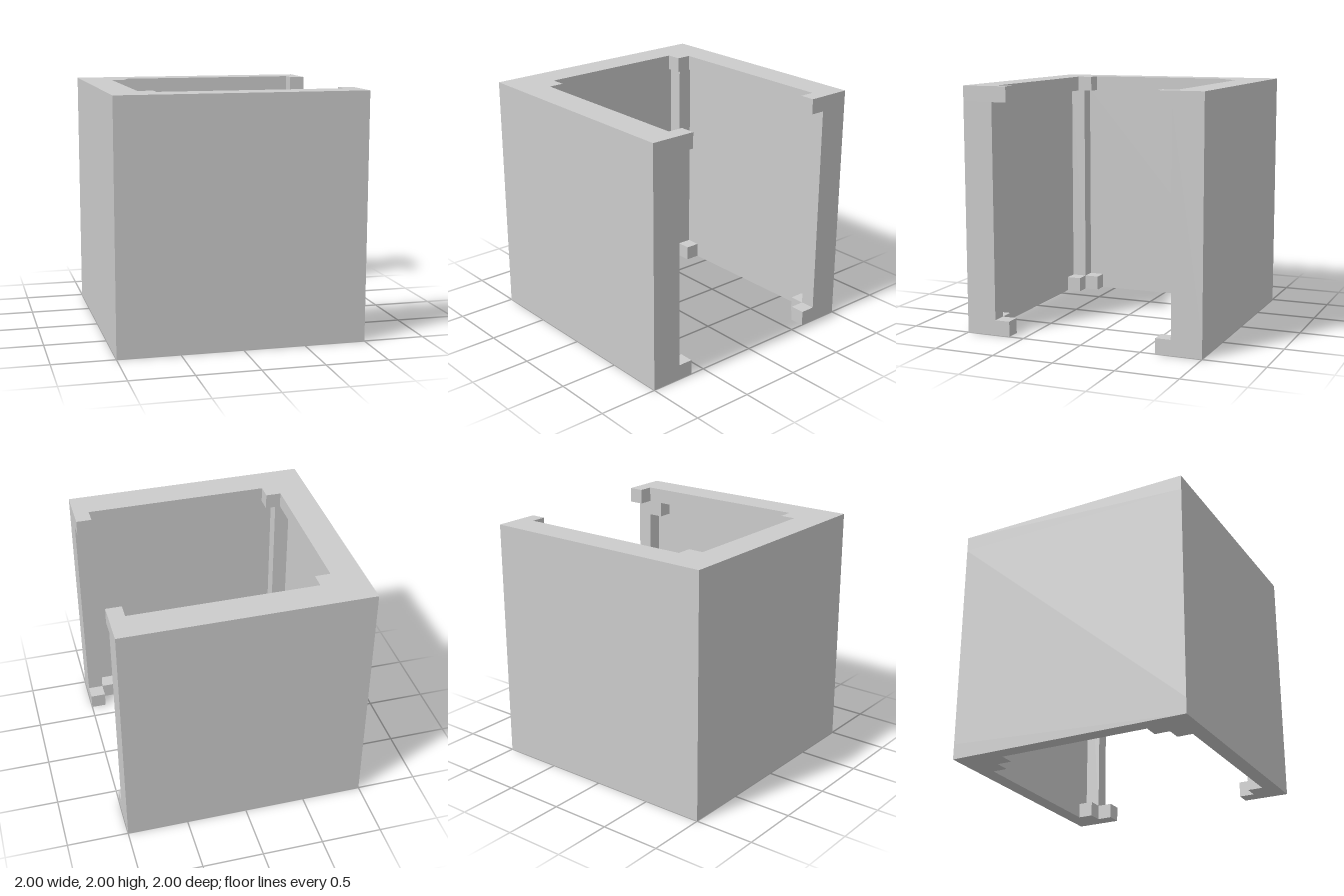
import * as THREE from 'three';

// Everything sits on a grid of sixteen units along the cube's side
const U = 1 / 8;

export function createModel() {
  const group = new THREE.Group();
  const material = new THREE.MeshStandardMaterial({ color: 0xcccccc, flatShading: true });

  // U-shaped layer, open at +x: inner edge given for +z and mirrored to -z
  function addLayer(name, y, height, inner) {
    const mirrored = inner.map(([x, z]) => [x, -z]).reverse();
    const outline = [...inner, ...mirrored, [8, -8], [-8, -8], [-8, 8], [8, 8]];
    const shape = new THREE.Shape(outline.map(([x, z]) => new THREE.Vector2(x * U, z * U)));
    const geometry = new THREE.ExtrudeGeometry(shape, { depth: height * U, bevelEnabled: false });
    geometry.rotateX(-Math.PI / 2);
    const mesh = new THREE.Mesh(geometry, material);
    mesh.name = name;
    mesh.position.y = y * U;
    group.add(mesh);
  }

  // Bottom layer: thin walls with stepped feet around the four posts
  addLayer('postFeet', 0, 1, [
    [8, 5], [7, 5], [7, 6], [6, 6], [6, 7],
    [-5, 7], [-5, 6], [-6, 6], [-6, 5], [-7, 5],
  ]);

  // Middle layer: thin walls and corner posts
  addLayer('wallsAndPosts', 1, 14, [
    [8, 6], [7, 6], [7, 7], [-6, 7], [-6, 6], [-7, 6],
  ]);

  // Top layer: thick rim with a small block in each corner
  addLayer('topRim', 15, 1, [
    [8, 5], [7, 5], [7, 6], [-5, 6], [-5, 5], [-6, 5],
  ]);

  // Small braces under the rim beside the open-end posts
  for (const side of [1, -1]) {
    const brace = new THREE.Mesh(new THREE.BoxGeometry(U, U, U), material);
    brace.name = side > 0 ? 'frontBrace' : 'backBrace';
    brace.position.set(6.5 * U, 14.5 * U, side * 6.5 * U);
    group.add(brace);
  }

  return group;
}
